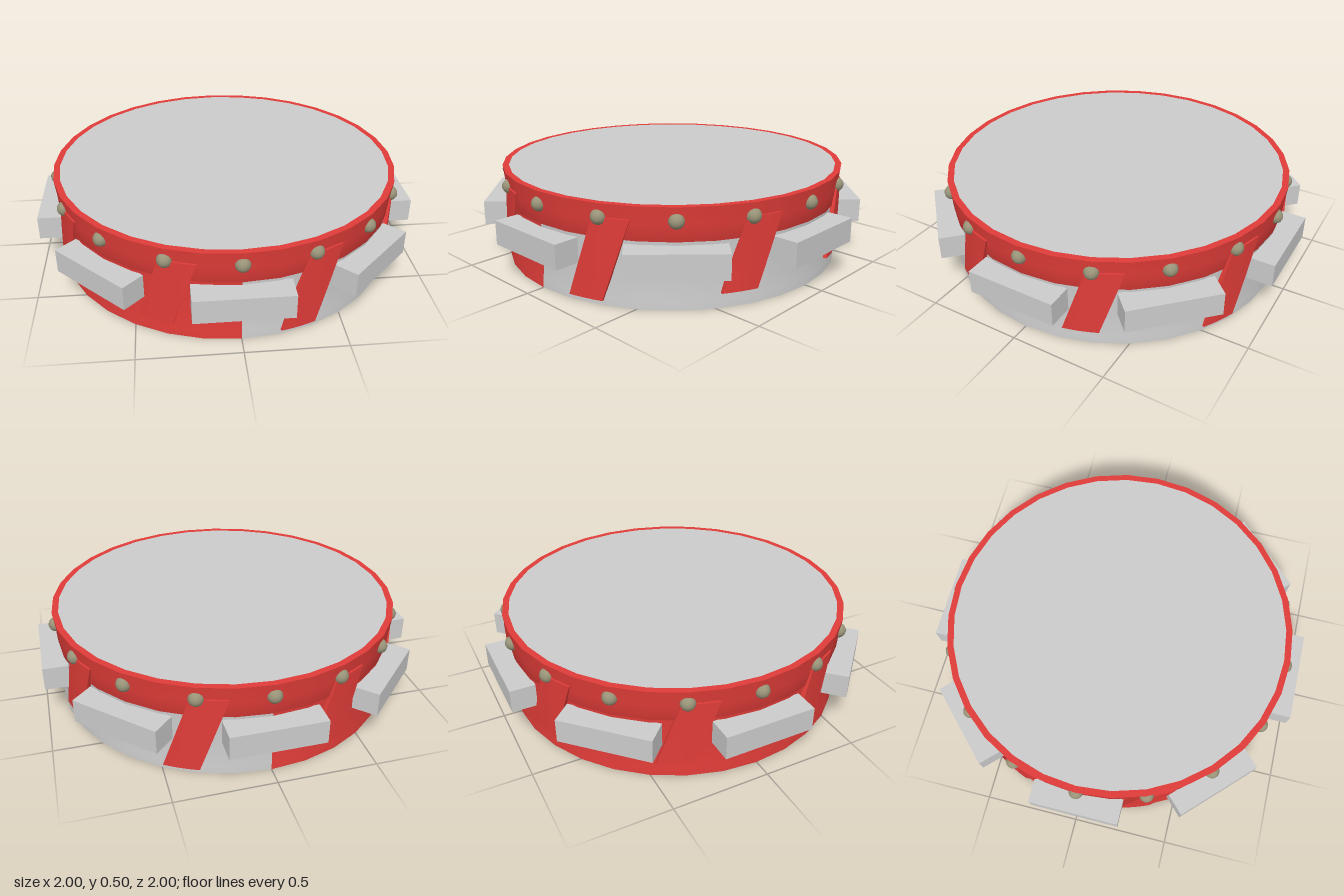
import * as THREE from 'three';

const V = (x, y) => new THREE.Vector2(x, y);
const SIDES = 32;

export function createModel() {
  const group = new THREE.Group();
  const grey = new THREE.MeshStandardMaterial({ color: 0xcccccc });
  const greyOpen = new THREE.MeshStandardMaterial({ color: 0xcccccc, side: THREE.DoubleSide });
  const red = new THREE.MeshStandardMaterial({ color: 0xe03c38, side: THREE.DoubleSide });
  const bronze = new THREE.MeshStandardMaterial({ color: 0x989378 });

  const add = (name, geometry, material, parent = group) => {
    const mesh = new THREE.Mesh(geometry, material);
    mesh.name = name;
    parent.add(mesh);
    return mesh;
  };

  // Wooden shell: one half grey, the other red
  const shell = [V(0.905, 0), V(0.903, 0.04), V(0.895, 0.12), V(0.895, 0.26), V(0.9, 0.36)];
  add('leftShell', new THREE.LatheGeometry(shell, SIDES / 2, 0, Math.PI), greyOpen);
  add('rightShell', new THREE.LatheGeometry(shell, SIDES / 2, Math.PI, Math.PI), red);

  // Closed bottom
  const bottom = add('bottom', new THREE.CircleGeometry(0.905, SIDES), red);
  bottom.rotation.x = Math.PI / 2;

  // Flared band around the head, with a flat rim on top
  const band = [V(0.885, 0.33), V(0.903, 0.33), V(0.908, 0.41), V(0.918, 0.497)];
  add('headBand', new THREE.LatheGeometry(band, SIDES), red);
  const rim = add('headRim', new THREE.RingGeometry(0.885, 0.918, SIDES), red);
  rim.rotation.x = -Math.PI / 2;
  rim.position.y = 0.497;

  // Drum head
  const head = add('drumHead', new THREE.CircleGeometry(0.888, SIDES), grey);
  head.rotation.x = -Math.PI / 2;
  head.position.y = 0.496;

  // Slanted strap: a thin box sheared and wrapped around the shell
  const strapGeometry = (low) => {
    const high = 0.43;
    const g = new THREE.BoxGeometry(0.18, high - low, 0.035, 4, 4, 1);
    const p = g.attributes.position;
    for (let i = 0; i < p.count; i++) {
      const y = p.getY(i) + (high + low) / 2;
      const angle = (p.getX(i) + 0.34 * (y - 0.25)) / 0.91;
      const r = 0.898 + p.getZ(i);
      p.setXYZ(i, r * Math.sin(angle), y, r * Math.cos(angle));
    }
    g.computeVertexNormals();
    return g;
  };

  // Jingle blocks with a strap between each pair
  const jingles = new THREE.Group();
  const straps = new THREE.Group();
  jingles.name = 'jingles';
  straps.name = 'straps';
  group.add(jingles, straps);
  for (let i = 0; i < 8; i++) {
    const a = (i * Math.PI) / 4;
    const jingle = add('jingle', new THREE.BoxGeometry(0.472, 0.124, 0.13), grey, jingles);
    jingle.position.set(0.935 * Math.sin(a), 0.25, 0.935 * Math.cos(a));
    jingle.rotation.y = a;
    const strap = add('strap', strapGeometry(i === 0 || i === 3 ? 0.025 : 0.075), red, straps);
    strap.rotation.y = a + Math.PI / 8;
  }

  // Round studs on the band
  const studs = new THREE.Group();
  studs.name = 'studs';
  group.add(studs);
  for (let i = 0; i < 16; i++) {
    const a = (i * Math.PI) / 8;
    const stud = add('stud', new THREE.SphereGeometry(0.038, 14, 10), bronze, studs);
    stud.position.set(0.903 * Math.sin(a), 0.43, 0.903 * Math.cos(a));
  }
  return group;
}
